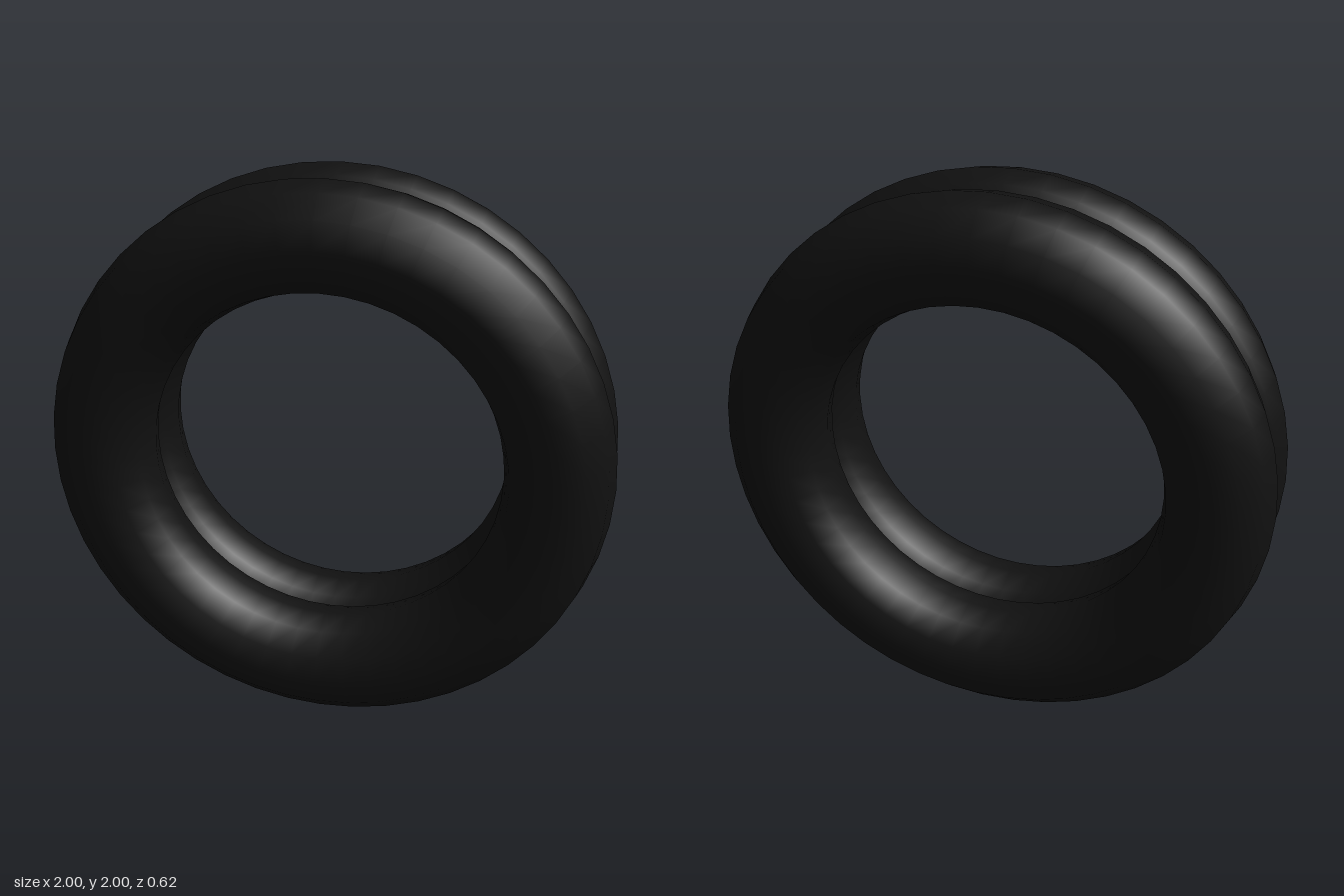
import * as THREE from 'three';

export function createModel() {
  const model = new THREE.Group();
  model.name = 'doubleRing';

  const rubber = new THREE.MeshStandardMaterial({ color: 0x111111 });
  const ringGeometry = new THREE.TorusGeometry(0.8125, 0.1875, 12, 48);

  // Two identical rings, side by side and slightly merged
  for (const [name, side] of [['frontRing', 1], ['backRing', -1]]) {
    const ring = new THREE.Mesh(ringGeometry, rubber);
    ring.name = name;
    ring.position.set(0, 1, side * 0.125);
    model.add(ring);
  }

  return model;
}
